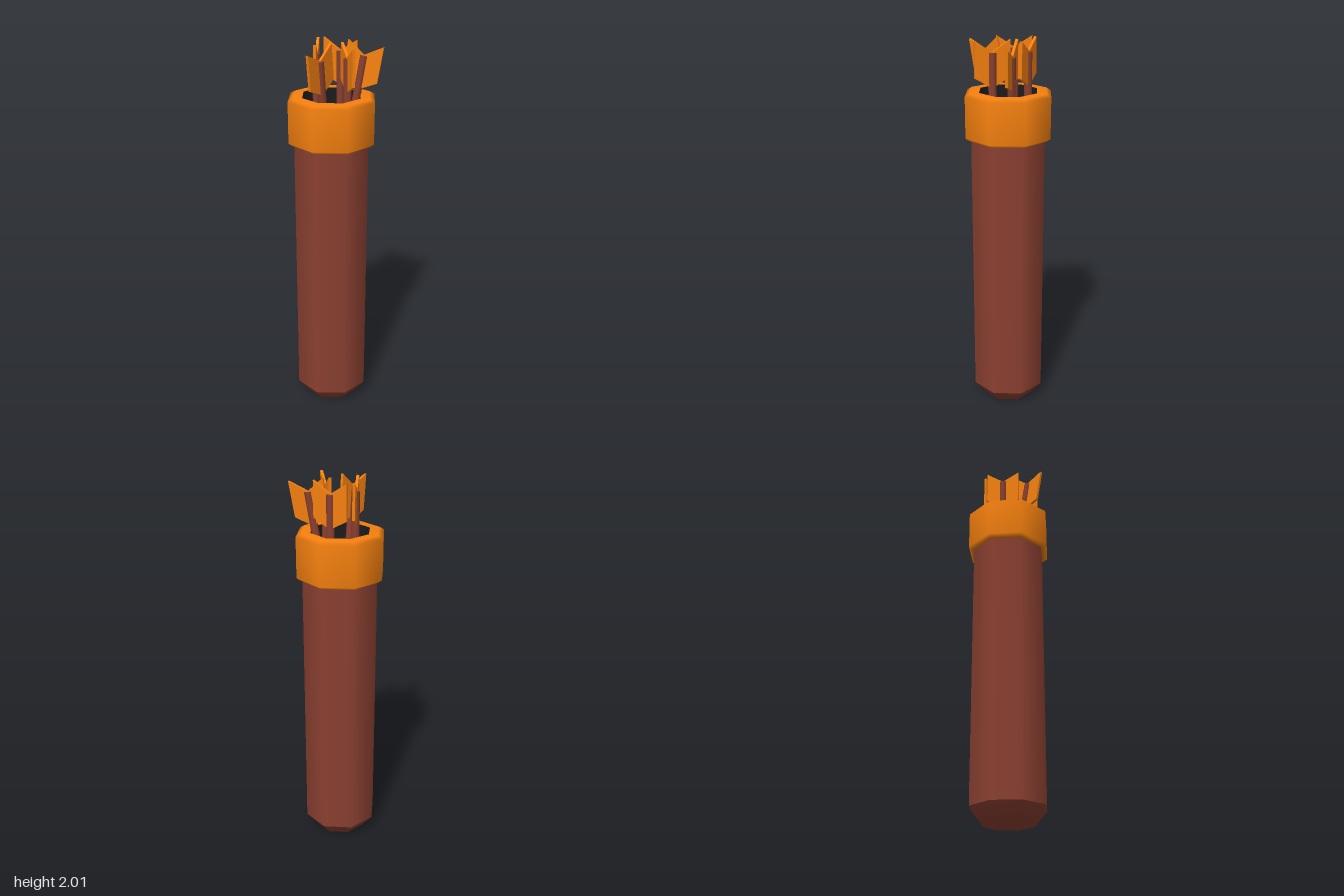
import * as THREE from 'three';

const leather = new THREE.MeshStandardMaterial({ color: 0x8b4031 });
const orange = new THREE.MeshStandardMaterial({ color: 0xf5800f });
const dark = new THREE.MeshStandardMaterial({ color: 0x1c1c1c });

const FLOOR = 1.44; // bottom of the open cavity
const SHAFT = 0.5;  // arrow shaft length

// Eight-sided turned part with corners on the x and z axes
function turned(name, profile, material) {
  const points = profile.map(([r, y]) => new THREE.Vector2(r, y));
  const mesh = new THREE.Mesh(new THREE.LatheGeometry(points, 8), material);
  mesh.name = name;
  return mesh;
}

// Swallow-tailed feather pair, cut from one thin plate
function fletchingGeometry() {
  const w = 0.09, t = 0.014;
  const shape = new THREE.Shape([
    [0, 0.33], [w, 0.38], [w, 0.56], [0, 0.503], [-w, 0.56], [-w, 0.38],
  ].map(([x, y]) => new THREE.Vector2(x, y)));
  return new THREE.ExtrudeGeometry(shape, { depth: t, bevelEnabled: false })
    .translate(0, 0, -t / 2);
}

// Arrow whose shaft runs from the foot to the nock; turn spins the feathers
function arrow(foot, nock, turn, fletching) {
  const group = new THREE.Group();
  group.name = 'arrow';
  const shaft = new THREE.Mesh(
    new THREE.CylinderGeometry(0.02, 0.02, SHAFT, 8).rotateY(Math.PI / 8).translate(0, SHAFT / 2, 0), leather);
  shaft.name = 'arrowShaft';
  const feathers = new THREE.Mesh(fletching, orange);
  feathers.name = 'arrowFletching';
  feathers.rotation.y = turn;
  group.add(shaft, feathers);

  const dx = nock[0] - foot[0], dz = nock[1] - foot[1];
  const axis = new THREE.Vector3(dx, Math.sqrt(SHAFT ** 2 - dx * dx - dz * dz), dz).normalize();
  group.quaternion.setFromUnitVectors(new THREE.Vector3(0, 1, 0), axis);
  group.position.set(foot[0], FLOOR, foot[1]);
  return group;
}

export function createModel() {
  const model = new THREE.Group();
  model.name = 'quiver';

  // Tube with a chamfered bottom
  model.add(turned('quiverBody', [[0, 0], [0.135, 0], [0.2, 0.08]], leather));
  model.add(turned('quiverTube', [[0.2, 0.08], [0.2, 1.52]], leather));

  // Thick collar and the dark cavity inside it
  model.add(turned('collar', [
    [0.195, 1.5], [0.21, 1.5], [0.23, 1.515], [0.23, 1.725], [0.205, 1.74], [0.155, 1.74],
  ], orange));
  model.add(turned('cavity', [[0.155, 1.74], [0.155, FLOOR], [0, FLOOR]], dark));

  // Arrows: foot (x, z), nock (x, z), feather angle
  const fletching = fletchingGeometry();
  const arrows = [
    [[0, -0.105], [0, -0.105], 0],
    [[-0.08, 0.005], [-0.08, 0.005], -1.22],
    [[0.102, 0.04], [0.102, 0.04], -0.85],
    [[0.062, -0.043], [0.137, -0.078], 0.14],
    [[-0.01, 0.045], [-0.005, 0.127], 1.34 + Math.PI],
  ];
  for (const [foot, nock, turn] of arrows) model.add(arrow(foot, nock, turn, fletching));

  return model;
}
